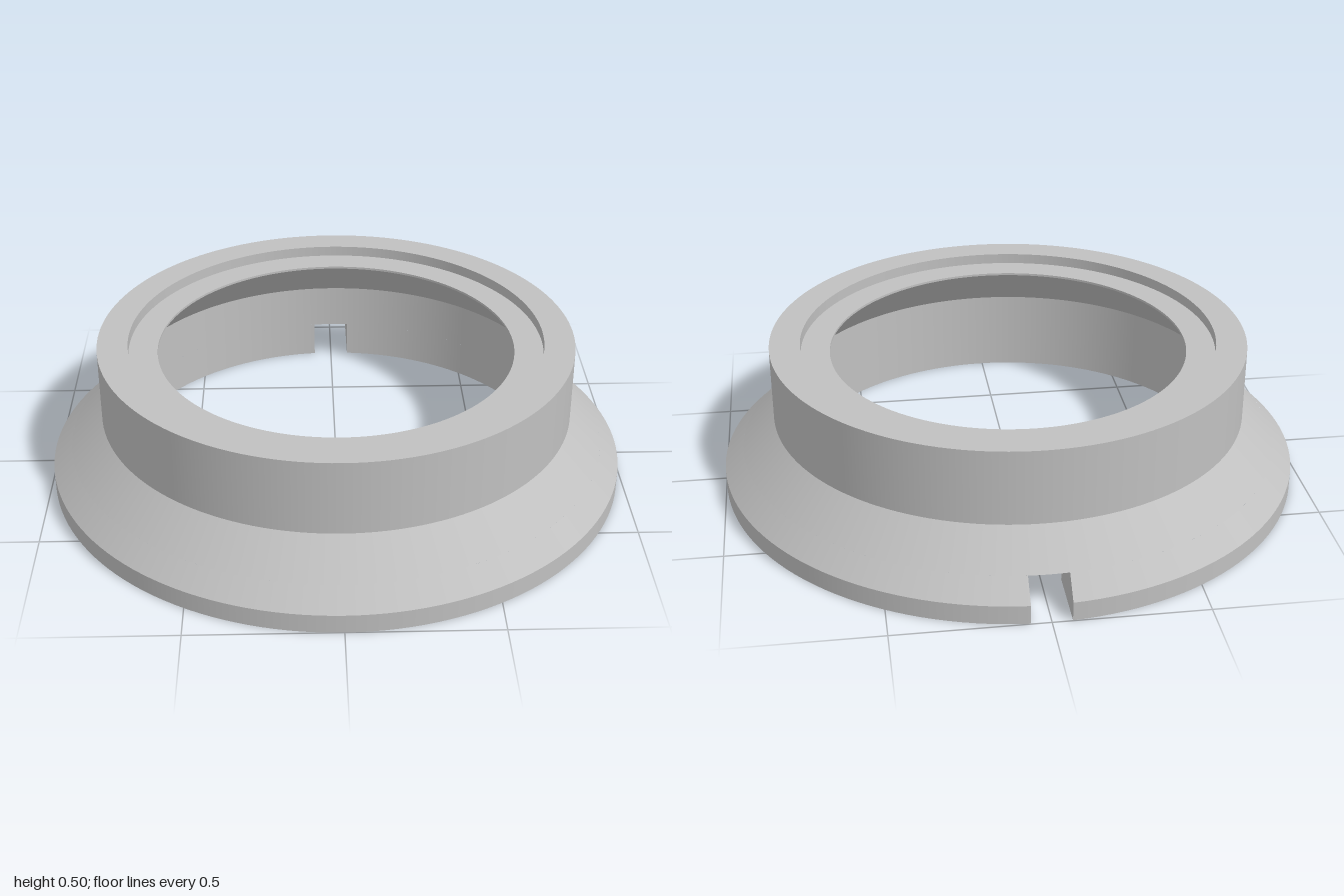
import * as THREE from 'three';
import { mergeGeometries } from 'three/addons/utils/BufferGeometryUtils.js';

const SEGMENTS = 144;
const HALF_SLOT = 0.065; // half the slot width
const SLOT_TOP = 0.13;   // height of the slot roof

// Half-angle that the parallel-sided slot takes up at radius r
const slotAngle = (r) => Math.asin(HALF_SLOT / r);

// Angle rules: t runs from -1 to 1 around the ring, and angle PI is the back (-z)
const fullTurn = (t) => t * Math.PI;
const aroundSlot = (t, r) => t * (Math.PI - slotAngle(r));
const insideSlot = (t, r) => Math.PI + t * slotAngle(r);

// One sharp-edged band of the ring, swept from profile point p to q
function band(p, q, angleRule, segments = SEGMENTS) {
  const points = [new THREE.Vector2(...p), new THREE.Vector2(...q)];
  const geometry = new THREE.LatheGeometry(points, segments);
  const pos = geometry.attributes.position;
  const nor = geometry.attributes.normal;
  const n = new THREE.Vector2(q[1] - p[1], p[0] - q[0]).normalize();
  for (let i = 0; i < pos.count; i++) {
    const { x: r, y } = points[i % 2];
    const a = angleRule((Math.floor(i / 2) / segments) * 2 - 1, r);
    pos.setXYZ(i, r * Math.sin(a), y, r * Math.cos(a));
    nor.setXYZ(i, n.x * Math.sin(a), n.y, n.x * Math.cos(a));
  }
  return geometry;
}

// Joins the bands between consecutive profile points
function sweep(profile, angleRule) {
  return mergeGeometries(profile.slice(1).map((q, i) => band(profile[i], q, angleRule)));
}

export function createModel() {
  const model = new THREE.Group();
  model.name = 'flangedRing';
  const grey = new THREE.MeshStandardMaterial({ color: 0xc0c0c0 });
  grey.name = 'grey';
  const greySheet = new THREE.MeshStandardMaterial({ color: 0xc0c0c0, side: THREE.DoubleSide });
  greySheet.name = 'grey';

  const add = (name, geometry, material = grey) => {
    const mesh = new THREE.Mesh(geometry, material);
    mesh.name = name;
    model.add(mesh);
    return mesh;
  };

  // Collar with stepped rim, sloping inner shoulder and upper flange
  add('collar', sweep([
    [0.933, SLOT_TOP], [0.82, 0.242], [0.82, 0.5], [0.715, 0.5], [0.715, 0.463],
    [0.615, 0.463], [0.615, 0.455], [0.78, 0.29], [0.78, SLOT_TOP],
  ], fullTurn));

  // Lower flange, interrupted by the slot at the back
  const lower = [[0.78, SLOT_TOP], [0.78, 0], [1, 0], [1, 0.065], [0.933, SLOT_TOP]];
  add('lowerFlange', sweep(lower, aroundSlot));

  // Slot roof
  add('slotRoof', band([0.78, SLOT_TOP], [0.933, SLOT_TOP], insideSlot, 8));

  // Slot side walls: the flange section seen on both sides of the slot
  const section = new THREE.Shape(lower.map(([r, y]) =>
    new THREE.Vector2(Math.sqrt(r * r - HALF_SLOT * HALF_SLOT), y)));
  for (const side of [-1, 1]) {
    const wall = add(side < 0 ? 'slotWallRight' : 'slotWallLeft',
      new THREE.ShapeGeometry(section), greySheet);
    wall.rotation.y = Math.PI / 2;
    wall.position.x = side * HALF_SLOT;
  }

  return model;
}
